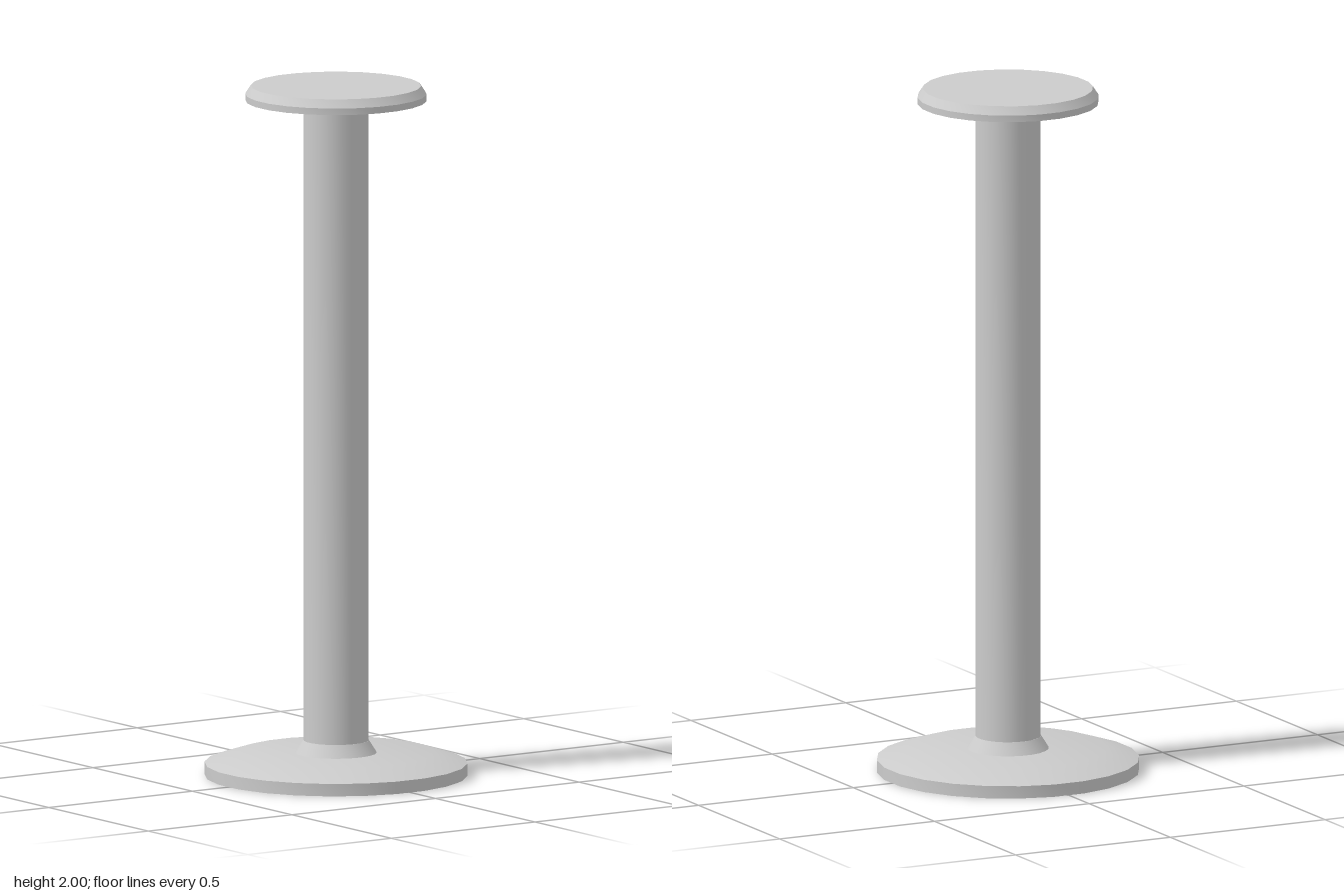
import * as THREE from 'three';
import { toCreasedNormals } from 'three/addons/utils/BufferGeometryUtils.js';

const SIDES = 24;

// Turned part from [radius, height] points, listed bottom to top
function turned(name, profile, material) {
  const points = profile.map(([r, y]) => new THREE.Vector2(r, y));
  // Half a step of rotation puts a flat side towards the front
  const lathe = new THREE.LatheGeometry(points, SIDES, Math.PI / SIDES);
  const mesh = new THREE.Mesh(toCreasedNormals(lathe, 0.5), material);
  mesh.name = name;
  return mesh;
}

export function createModel() {
  const model = new THREE.Group();
  model.name = 'pedestalPost';
  const grey = new THREE.MeshStandardMaterial({ color: 0xcccccc });

  model.add(
    // Wide foot with a gently sloping rim
    turned('base', [[0, 0], [0.377, 0], [0.377, 0.036], [0.283, 0.066], [0, 0.066]], grey),
    // Tapered ring where the column meets the foot
    turned('collar', [[0.117, 0.066], [0.094, 0.102], [0, 0.102]], grey),
    // Long round shaft
    turned('column', [[0.0935, 0.066], [0.0935, 1.958]], grey),
    // Flat disc with a bevelled upper edge
    turned('topPlate', [[0, 1.957], [0.26, 1.957], [0.26, 1.976], [0.244, 2], [0, 2]], grey),
  );
  return model;
}
